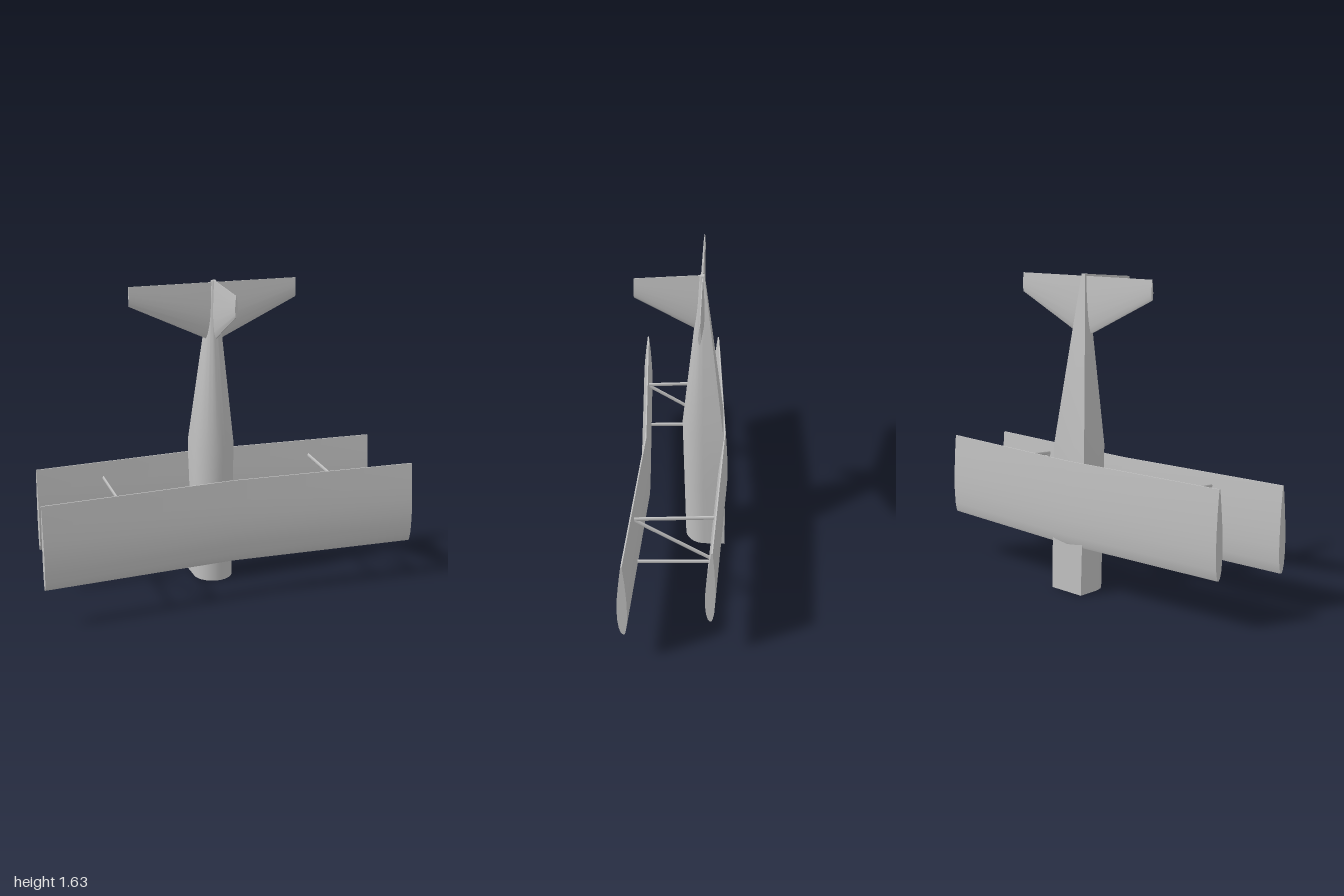
import * as THREE from 'three';
import { toCreasedNormals } from 'three/addons/utils/BufferGeometryUtils.js';

// Closed loft through equal-length rings of points, outward facing
function loft(rings, crease = 0.7) {
  const n = rings[0].length;
  const tris = [];
  for (let r = 0; r < rings.length - 1; r++) {
    for (let i = 0; i < n; i++) {
      const j = (i + 1) % n;
      const a = rings[r][i], b = rings[r][j], c = rings[r + 1][j], d = rings[r + 1][i];
      tris.push([a, b, c], [a, c, d]);
    }
  }
  // End caps
  const first = rings[0], last = rings[rings.length - 1];
  for (let i = 1; i < n - 1; i++) {
    tris.push([first[0], first[i + 1], first[i]], [last[0], last[i], last[i + 1]]);
  }
  // The sign of the enclosed volume tells which way the faces wind
  let volume = 0;
  for (const [a, b, c] of tris) volume += a.dot(b.clone().cross(c));
  const points = tris.flatMap(([a, b, c]) => (volume > 0 ? [a, b, c] : [a, c, b]));
  return toCreasedNormals(new THREE.BufferGeometry().setFromPoints(points), crease);
}

// Aerofoil outline: [fraction of chord from leading edge, fraction of thickness]
const AEROFOIL = [
  [0, 0.1], [0.03, 0.27], [0.1, 0.44], [0.22, 0.55], [0.38, 0.58], [0.55, 0.5], [0.75, 0.33], [1, 0.07],
  [1, -0.07], [0.75, -0.27], [0.5, -0.39], [0.3, -0.42], [0.12, -0.34], [0.03, -0.2], [0, -0.1],
];

// Ring of an aerofoil with its chord along y; place() maps (y, offset) to a point
const foilRing = (lead, trail, thick, place) =>
  AEROFOIL.map(([t, o]) => place(lead + (trail - lead) * t, o * thick));

export function createModel() {
  const model = new THREE.Group();
  model.name = 'biplane';
  const grey = new THREE.MeshStandardMaterial({ color: 0xbfbfbf });
  grey.name = 'plain grey';

  const add = (name, geometry, parent = model) => {
    const mesh = new THREE.Mesh(geometry, grey);
    mesh.name = name;
    parent.add(mesh);
    return mesh;
  };

  // Fuselage, nose down: rounded deck (+z), flat sides and belly
  // Stations: y, half width, deck z, belly z
  const stations = [
    [0.0, 0.105, -0.035, -0.25],
    [0.38, 0.107, -0.024, -0.238],
    [0.76, 0.108, -0.013, -0.226],
    [1.33, 0.046, -0.069, -0.155],
    [1.63, 0.012, -0.094, -0.118],
  ];
  add('fuselage', loft(stations.map(([y, w, deck, belly]) => {
    const ring = [new THREE.Vector3(w, y, belly)];
    const round = Math.min(w, (deck - belly) * 0.7);
    for (let i = 0; i <= 20; i++) {
      const a = (i / 20) * Math.PI;
      ring.push(new THREE.Vector3(w * Math.cos(a), y, deck - round + round * Math.sin(a)));
    }
    ring.push(new THREE.Vector3(-w, y, belly));
    return ring;
  })));

  // Main wings, both with dihedral
  const wing = (name, span, lead, trail, rootZ, tipZ) =>
    add(name, loft([-1, 0, 1].map((s) =>
      foilRing(lead, trail, 0.05, (y, o) =>
        new THREE.Vector3(s * span, y, (s ? tipZ : rootZ) + o)))));
  wing('upperWing', 1, 0.205, 0.645, 0.182, 0.232);
  wing('lowerWing', 0.94, 0.25, 0.69, -0.236, -0.187);

  // Tailplane, tapered to both tips
  add('tailplane', loft([-1, 0, 1].map((s) =>
    foilRing(s ? 1.52 : 1.31, 1.62, s ? 0.014 : 0.036, (y, o) =>
      new THREE.Vector3(s * 0.45, y, -0.108 + o * 0.9)))));

  // Tail fin
  add('tailFin', loft([
    foilRing(1.315, 1.63, 0.032, (y, o) => new THREE.Vector3(o, y, -0.105)),
    foilRing(1.5, 1.605, 0.014, (y, o) => new THREE.Vector3(o, y, 0.226)),
  ]));

  // Interplane struts: two cross struts and a diagonal on each side
  const strutEnds = [
    ['rearStrut', 0.58, 0.205, 0.605, -0.205],
    ['frontStrut', 0.297, 0.22, 0.313, -0.205],
    ['diagonalStrut', 0.575, 0.205, 0.325, -0.195],
  ];
  for (const side of [-1, 1]) {
    const group = new THREE.Group();
    group.name = side > 0 ? 'leftStruts' : 'rightStruts';
    for (const [name, y0, z0, y1, z1] of strutEnds) {
      const length = Math.hypot(y1 - y0, z1 - z0);
      const shape = new THREE.CylinderGeometry(0.011, 0.011, length, 12);
      const strut = add(name, shape.scale(0.5, 1, 1), group);
      strut.position.set(side * 0.585, (y0 + y1) / 2, (z0 + z1) / 2);
      strut.rotation.x = Math.atan2(z1 - z0, y1 - y0);
    }
    model.add(group);
  }

  return model;
}
